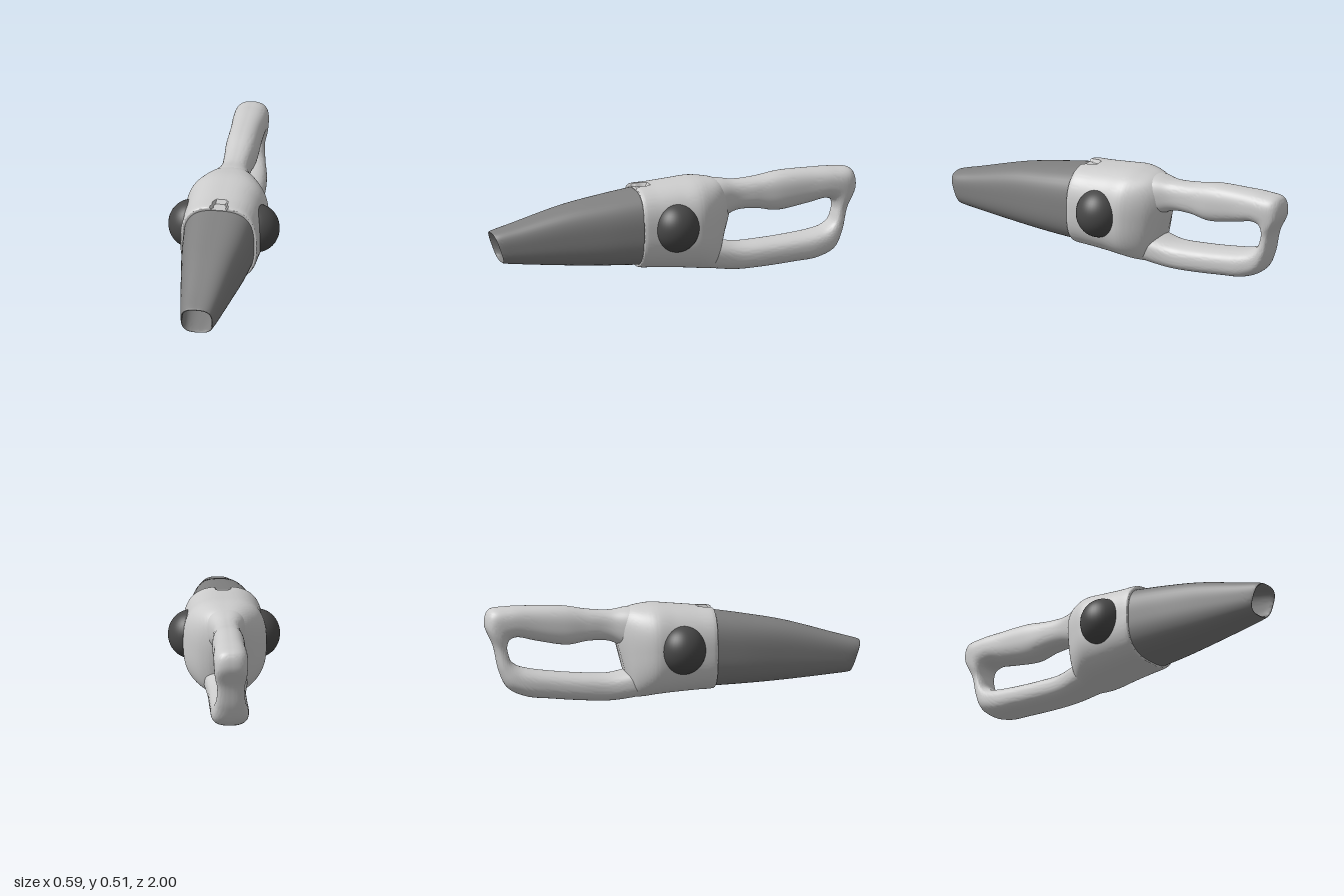
import * as THREE from 'three';
import { toCreasedNormals } from 'three/addons/utils/BufferGeometryUtils.js';

const material = (color) => new THREE.MeshStandardMaterial({ color });

// Smooth loft through superellipse sections.
// Each station: [half width, yA, zA, yB, zB], A and B being opposite ends of the section.
function loft(stations, { power = 2.7, sides = 64, steps = 8, rule = null } = {}) {
  const curveA = new THREE.CatmullRomCurve3(stations.map(([w, y, z]) => new THREE.Vector3(w, y, z)));
  const curveB = new THREE.CatmullRomCurve3(stations.map(([w, , , y, z]) => new THREE.Vector3(w, y, z)));
  const rings = (stations.length - 1) * steps;
  const points = [];
  const index = [];
  const centres = [];
  for (let i = 0; i <= rings; i++) {
    const a = curveA.getPoint(i / rings);
    const b = curveB.getPoint(i / rings);
    const cy = (a.y + b.y) / 2, cz = (a.z + b.z) / 2;
    centres.push([0, cy, cz]);
    for (let j = 0; j < sides; j++) {
      const t = (j / sides) * Math.PI * 2;
      const c = Math.cos(t), s = Math.sin(t);
      const r = (Math.abs(c) ** power + Math.abs(s) ** power) ** (-1 / power);
      const p = new THREE.Vector3(a.x * r * c, cy + (a.y - cy) * r * s, cz + (a.z - cz) * r * s);
      if (rule) rule(p);
      points.push(p.x, p.y, p.z);
    }
  }
  for (let i = 0; i < rings; i++) {
    for (let j = 0; j < sides; j++) {
      const k = (j + 1) % sides;
      const a = i * sides + j, b = i * sides + k, c = a + sides, d = b + sides;
      index.push(a, c, b, b, c, d);
    }
  }
  // end caps
  const first = points.length / 3, last = first + 1, base = rings * sides;
  points.push(...centres[0], ...centres[rings]);
  for (let j = 0; j < sides; j++) {
    const k = (j + 1) % sides;
    index.push(first, j, k, last, base + k, base + j);
  }
  const geometry = new THREE.BufferGeometry();
  geometry.setAttribute('position', new THREE.Float32BufferAttribute(points, 3));
  geometry.setIndex(index);
  return toCreasedNormals(geometry, 0.7);
}

export function createModel() {
  const group = new THREE.Group();
  const add = (name, geometry, mat) => {
    const mesh = new THREE.Mesh(geometry, mat);
    mesh.name = name;
    group.add(mesh);
    return mesh;
  };
  const shell = material(0xcccccc);
  const smoke = material(0x808080);
  const dark = material(0x484848);

  // latch notch sunk into the top of the front lip
  const notch = (p) => {
    if (p.y > 0.4 && Math.hypot(p.x, Math.min(0, p.z - 0.175)) < 0.041) p.y = Math.min(p.y, 0.468);
  };

  // motor housing, from the front lip to the narrowing back
  add('housing', loft([
    [0.183, 0.462, 0.212, 0.078, 0.212],
    [0.2, 0.48, 0.215, 0.06, 0.215],
    [0.205, 0.485, 0.208, 0.055, 0.208],
    [0.209, 0.491, 0.12, 0.049, 0.12],
    [0.213, 0.502, 0, 0.04, 0],
    [0.218, 0.51, -0.1, 0.03, -0.1],
    [0.197, 0.506, -0.16, 0.022, -0.15],
    [0.15, 0.49, -0.235, 0.02, -0.2],
    [0.1, 0.45, -0.285, 0.045, -0.225],
    [0.05, 0.36, -0.31, 0.1, -0.24],
  ], { sides: 160, rule: notch }), shell);

  // closed-loop handle: over the top, down the rear post, forward along the bottom
  add('handle', loft([
    [0.13, 0.5, -0.12, 0.28, -0.1],
    [0.108, 0.493, -0.24, 0.27, -0.22],
    [0.076, 0.48, -0.33, 0.318, -0.34],
    [0.076, 0.487, -0.45, 0.32, -0.45],
    [0.085, 0.508, -0.58, 0.303, -0.56],
    [0.085, 0.513, -0.75, 0.33, -0.73],
    [0.09, 0.511, -0.88, 0.35, -0.83],
    [0.09, 0.495, -0.975, 0.335, -0.868],
    [0.085, 0.42, -0.997, 0.3, -0.88],
    [0.072, 0.3, -0.95, 0.265, -0.875],
    [0.078, 0.17, -0.92, 0.225, -0.86],
    [0.092, 0.08, -0.875, 0.195, -0.82],
    [0.1, 0.035, -0.78, 0.178, -0.76],
    [0.1, 0.02, -0.65, 0.16, -0.63],
    [0.1, 0.006, -0.48, 0.147, -0.48],
    [0.1, 0.001, -0.34, 0.143, -0.34],
    [0.112, 0.014, -0.22, 0.165, -0.23],
    [0.13, 0.04, -0.08, 0.2, -0.1],
  ], { power: 2.6 }), shell);

  // hollow tapered nozzle: inner wall out to the slanted mouth, then the outer wall back
  add('nozzle', loft([
    [0.165, 0.44, 0.25, 0.095, 0.25],
    [0.13, 0.385, 0.6, 0.1, 0.58],
    [0.078, 0.277, 0.992, 0.13, 0.937],
    [0.083, 0.284, 1, 0.122, 0.943],
    [0.088, 0.291, 0.985, 0.119, 0.93],
    [0.104, 0.32, 0.88, 0.11, 0.84],
    [0.143, 0.398, 0.6, 0.088, 0.58],
    [0.172, 0.438, 0.38, 0.076, 0.38],
    [0.19, 0.467, 0.19, 0.068, 0.19],
  ], { power: 2.9 }), smoke);

  // round side knobs
  for (const side of [1, -1]) {
    const knob = add(side > 0 ? 'leftKnob' : 'rightKnob', new THREE.SphereGeometry(1, 40, 28), dark);
    knob.scale.set(0.122, 0.13, 0.121);
    knob.position.set(side * 0.173, 0.283, 0.032);
  }
  return group;
}
